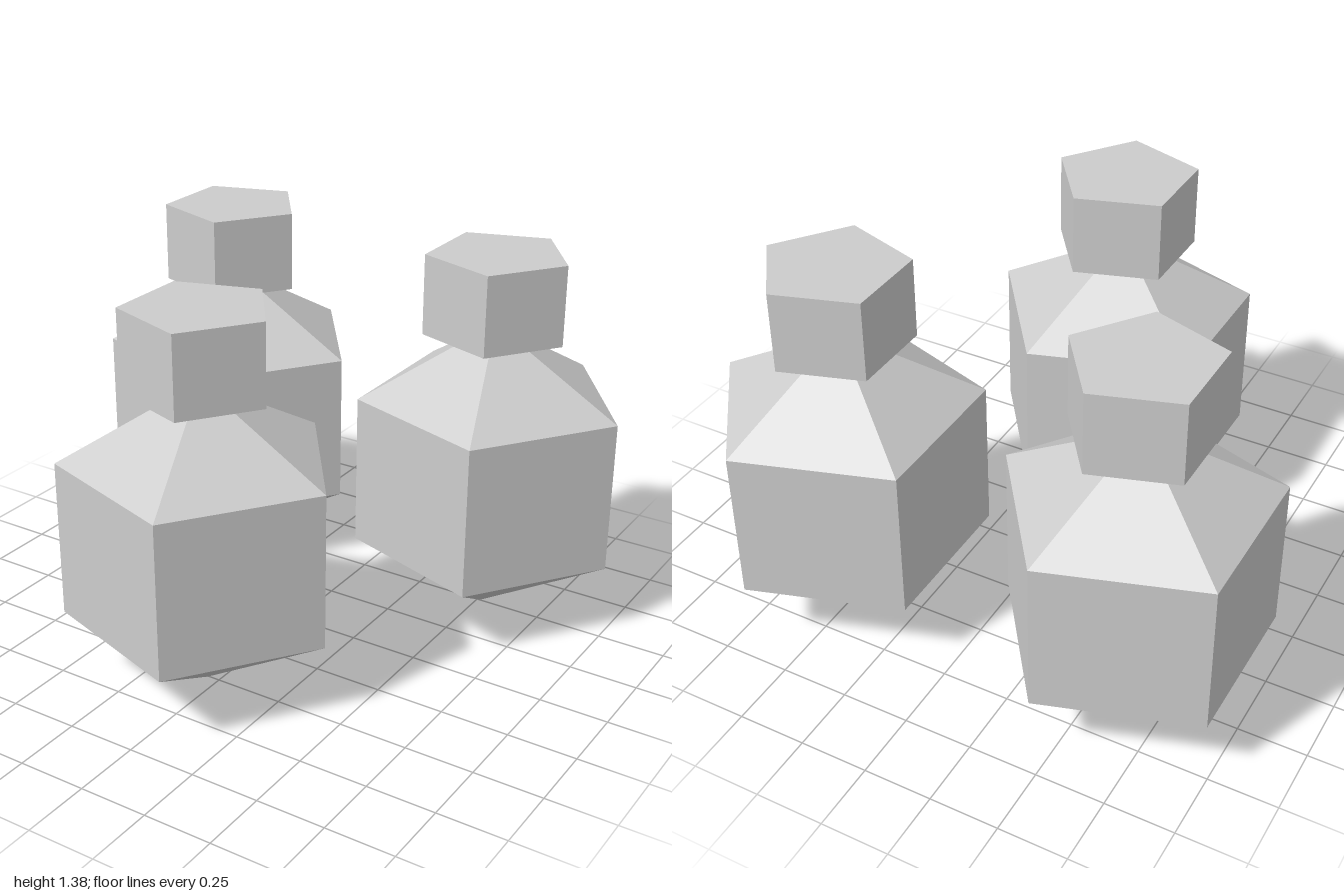
import * as THREE from 'three';

export function createModel() {
  const group = new THREE.Group();
  const grey = new THREE.MeshStandardMaterial({ color: 0xcccccc, flatShading: true });
  grey.name = 'grey';

  // Five-sided solid turned from a profile, with one corner towards +x
  const fiveSided = (profile) => new THREE.LatheGeometry(
    profile.map(([r, y]) => new THREE.Vector2(r, y)), 5, Math.PI / 2);

  // Prism with a pointed base and a pointed shoulder
  const bodyGeometry = fiveSided([[0, 0], [0.486, 0.28], [0.486, 0.843], [0, 1.123]]);
  // Flat cap that swallows the tip of the shoulder
  const capGeometry = new THREE.CylinderGeometry(0.26, 0.26, 0.295, 5, 1, false, Math.PI / 2);

  const places = [
    ['frontBottle', -0.046, 0.504],
    ['backLeftBottle', 0.514, -0.504],
    ['backRightBottle', -0.607, -0.504],
  ];
  for (const [name, x, z] of places) {
    const bottle = new THREE.Group();
    bottle.name = name;
    bottle.position.set(x, 0, z);

    const body = new THREE.Mesh(bodyGeometry, grey);
    body.name = 'body';
    const cap = new THREE.Mesh(capGeometry, grey);
    cap.name = 'cap';
    cap.position.y = 1.236;

    bottle.add(body, cap);
    group.add(bottle);
  }
  return group;
}
